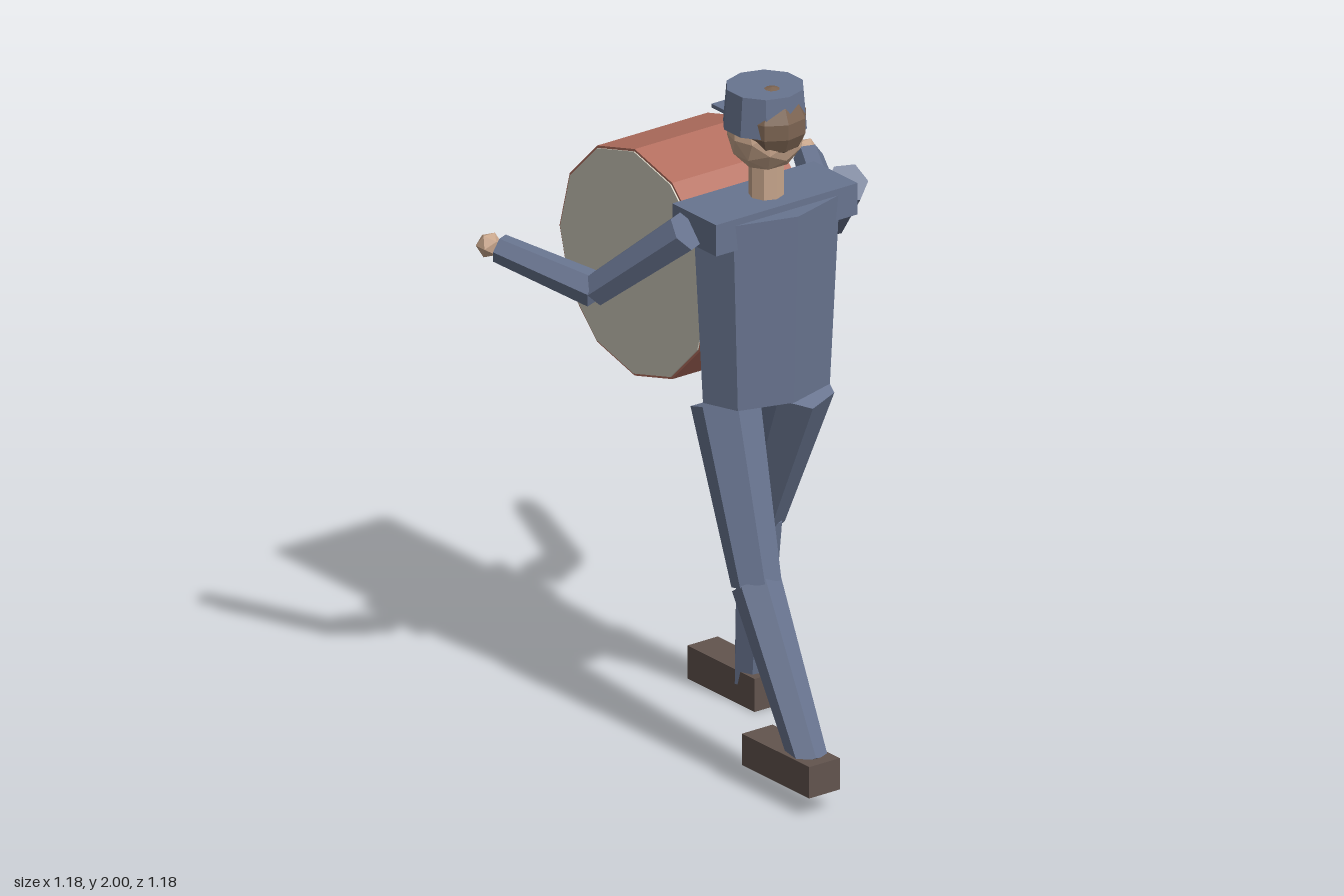
import * as THREE from 'three';

const flat = (name, color) => {
  const m = new THREE.MeshStandardMaterial({ color, flatShading: true });
  m.name = name;
  return m;
};

export function createModel() {
  const cloth = flat('uniform blue', 0x68748f);
  const skin = flat('skin', 0xc8a68c);
  const hairBrown = flat('hair brown', 0x7c6452);
  const leather = flat('shoe leather', 0x62544e);
  const shell = flat('drum red', 0xb57060);
  const hide = flat('drum skin', 0xd0ccbe);
  const model = new THREE.Group();
  model.name = 'marchingDrummer';

  const add = (name, geometry, material, x = 0, y = 0, z = 0) => {
    const mesh = new THREE.Mesh(geometry, material);
    mesh.name = name;
    mesh.position.set(x, y, z);
    model.add(mesh);
    return mesh;
  };

  // Tapered six-sided segment from point a to point b
  const limb = (name, a, b, ra, rb) => {
    const p = new THREE.Vector3(...a), q = new THREE.Vector3(...b);
    const d = q.clone().sub(p);
    const mesh = add(name, new THREE.CylinderGeometry(rb, ra, d.length(), 6), cloth);
    mesh.position.copy(p).add(q).multiplyScalar(0.5);
    mesh.quaternion.setFromUnitVectors(new THREE.Vector3(0, 1, 0), d.normalize());
  };

  // Torso: seven-sided, tapered and flattened, under a shoulder yoke
  add('torso', new THREE.CylinderGeometry(0.24, 0.208, 0.57, 7).scale(1, 1, 0.61), cloth, 0, 1.365, 0.1);
  add('shoulderYoke', new THREE.BoxGeometry(0.5, 0.095, 0.2), cloth, 0, 1.6225, 0.093);

  // Head, hair and cap
  add('neck', new THREE.CylinderGeometry(0.05, 0.05, 0.16, 8), skin, 0, 1.74, 0.098);
  add('head', new THREE.IcosahedronGeometry(0.11, 1), skin, 0, 1.858, 0.097);
  add('nose', new THREE.IcosahedronGeometry(0.017, 0), skin, 0, 1.86, -0.02);
  add('hair', new THREE.SphereGeometry(0.103, 9, 7), hairBrown, 0, 1.9, 0.125);
  add('cap', new THREE.CylinderGeometry(0.112, 0.122, 0.118, 10), cloth, 0, 1.939, 0.093);
  add('capPeak', new THREE.BoxGeometry(0.11, 0.012, 0.12), cloth, 0, 1.892, -0.02);
  add('capBadge', new THREE.IcosahedronGeometry(0.015, 0), skin, 0, 1.95, -0.027);

  // Arms reaching out around the drum
  for (const [side, s] of [['left', 1], ['right', -1]]) {
    const elbow = [s * 0.415, 1.405, -0.145];
    limb(side + 'UpperArm', [s * 0.285, 1.63, 0.1], elbow, 0.06, 0.05);
    limb(side + 'Forearm', elbow, [s * 0.545, 1.475, -0.415], 0.052, 0.042);
    add(side + 'Hand', new THREE.IcosahedronGeometry(0.038, 0), skin, s * 0.558, 1.478, -0.445);
  }

  // Striding legs with box shoes
  const legs = [
    ['left', [0.125, 1.06, 0.09], [0.15, 0.585, -0.125], [0.172, 0.06, -0.19], [0.175, 0.05, -0.265], 0.1],
    ['right', [-0.115, 1.06, 0.06], [-0.14, 0.57, 0.235], [-0.17, 0.13, 0.515], [-0.175, 0.1075, 0.4375], 0.095],
  ];
  for (const [side, hip, knee, ankle, shoe, height] of legs) {
    limb(side + 'Thigh', hip, knee, 0.1, 0.072);
    limb(side + 'Shin', knee, ankle, 0.072, 0.055);
    add(side + 'Shoe', new THREE.BoxGeometry(0.108, height, 0.307), leather, ...shoe);
  }

  // Twelve-sided bass drum lying on the x axis
  const drum = (r, w) => new THREE.CylinderGeometry(r, r, w, 12).rotateZ(Math.PI / 2);
  add('drumShell', drum(0.343, 0.39), shell, 0, 1.397, -0.25);
  for (const [side, s] of [['left', 1], ['right', -1]]) {
    add(side + 'DrumHead', drum(0.336, 0.006), hide, s * 0.196, 1.397, -0.25);
  }
  return model;
}
